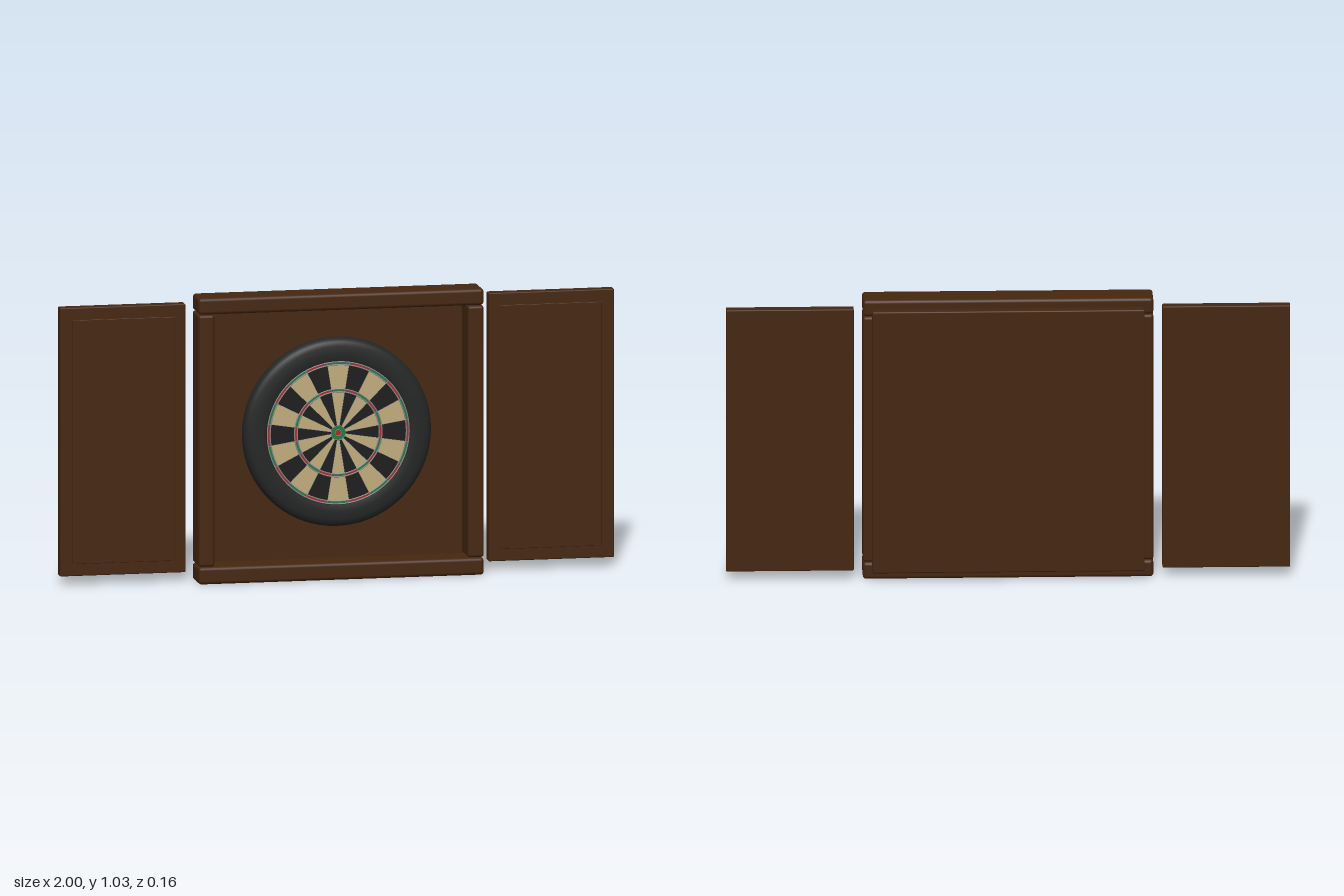
import * as THREE from 'three';
import { RoundedBoxGeometry } from 'three/addons/geometries/RoundedBoxGeometry.js';
import { mergeGeometries } from 'three/addons/utils/BufferGeometryUtils.js';

const material = (name, color) => {
  const m = new THREE.MeshStandardMaterial({ color });
  m.name = name;
  return m;
};

export function createModel() {
  const wood = material('dark wood', 0x45260f);
  const rubber = material('black surround', 0x242525);
  const black = material('black segment', 0x1b1b1b);
  const cream = material('cream segment', 0xc2ac7e);
  const red = material('red', 0xa82a2a);
  const green = material('green', 0x1f7a45);
  const steel = material('steel wire', 0x8c8c8c);

  const model = new THREE.Group();
  model.name = 'dartboardCabinet';

  const add = (name, geometry, mat, parent = model) => {
    const mesh = new THREE.Mesh(geometry, mat);
    mesh.name = name;
    parent.add(mesh);
    return mesh;
  };
  // Rounded plank given by its extents
  const plank = (name, x0, x1, y0, y1, z0, z1, radius) => {
    const g = new RoundedBoxGeometry(x1 - x0, y1 - y0, z1 - z0, 3, radius);
    g.translate((x0 + x1) / 2, (y0 + y1) / 2, (z0 + z1) / 2);
    return add(name, g, wood);
  };

  // Cabinet
  plank('backPanel', -0.483, 0.483, 0.033, 1.0, -0.08, -0.04, 0.005);
  plank('topRail', -0.515, 0.515, 0.972, 1.031, -0.04, 0.08, 0.012);
  plank('bottomRail', -0.515, 0.515, 0, 0.062, -0.04, 0.08, 0.012);
  for (const s of [-1, 1]) {
    const side = s > 0 ? 'left' : 'right';
    const span = (a, b) => (s > 0 ? [a, b] : [-b, -a]);
    plank(side + 'Post', ...span(0.457, 0.515), 0.064, 0.97, -0.04, 0.08, 0.01);
    plank(side + 'Door', ...span(0.547, 1.0), 0.033, 1.0, -0.04, 0, 0.004);
    plank(side + 'DoorInset', ...span(0.582, 0.955), 0.077, 0.956, -0.003, 0.005, 0.002);
  }

  // Dartboard, centred on its own origin and facing +z
  const board = new THREE.Group();
  board.name = 'dartboard';
  board.position.y = 0.52;
  model.add(board);

  const profile = [
    [0.325, -0.04], [0.336, -0.033], [0.34, -0.02], [0.34, -0.005], [0.336, 0.008],
    [0.327, 0.017], [0.312, 0.022], [0.285, 0.023], [0.262, 0.022], [0.258, 0.018],
  ].map(([r, y]) => new THREE.Vector2(r, y));
  add('surround', new THREE.LatheGeometry(profile, 72).rotateX(Math.PI / 2), rubber, board);
  add('face', new THREE.CircleGeometry(0.261, 72).translate(0, 0, 0.02), black, board);

  // Scoring segments: cream with green rings alternate with black and red
  const step = Math.PI / 10;
  const sector = (i, r0, r1) =>
    new THREE.RingGeometry(r0, r1, 4, 1, Math.PI / 2 + (i - 0.5) * step, step).translate(0, 0, 0.021);
  const creams = [], reds = [], greens = [];
  for (let i = 0; i < 20; i++) {
    const even = i % 2 === 0;
    if (even) creams.push(sector(i, 0.026, 0.148), sector(i, 0.158, 0.246));
    (even ? greens : reds).push(sector(i, 0.148, 0.158), sector(i, 0.246, 0.256));
  }
  greens.push(new THREE.RingGeometry(0.011, 0.026, 32).translate(0, 0, 0.021));
  reds.push(new THREE.CircleGeometry(0.011, 24).translate(0, 0, 0.021));
  add('creamSegments', mergeGeometries(creams), cream, board);
  add('redSegments', mergeGeometries(reds), red, board);
  add('greenSegments', mergeGeometries(greens), green, board);

  // Wire spider
  const wires = [0.011, 0.026, 0.148, 0.158, 0.246, 0.256].map((r) =>
    new THREE.TorusGeometry(r, r < 0.1 ? 0.001 : 0.0022, 6, 72).translate(0, 0, 0.022));
  for (let i = 0; i < 20; i++) {
    wires.push(new THREE.BoxGeometry(0.0013, 0.23, 0.002)
      .translate(0, 0.141, 0.022).rotateZ((i + 0.5) * step));
  }
  add('wireSpider', mergeGeometries(wires), steel, board);

  return model;
}
